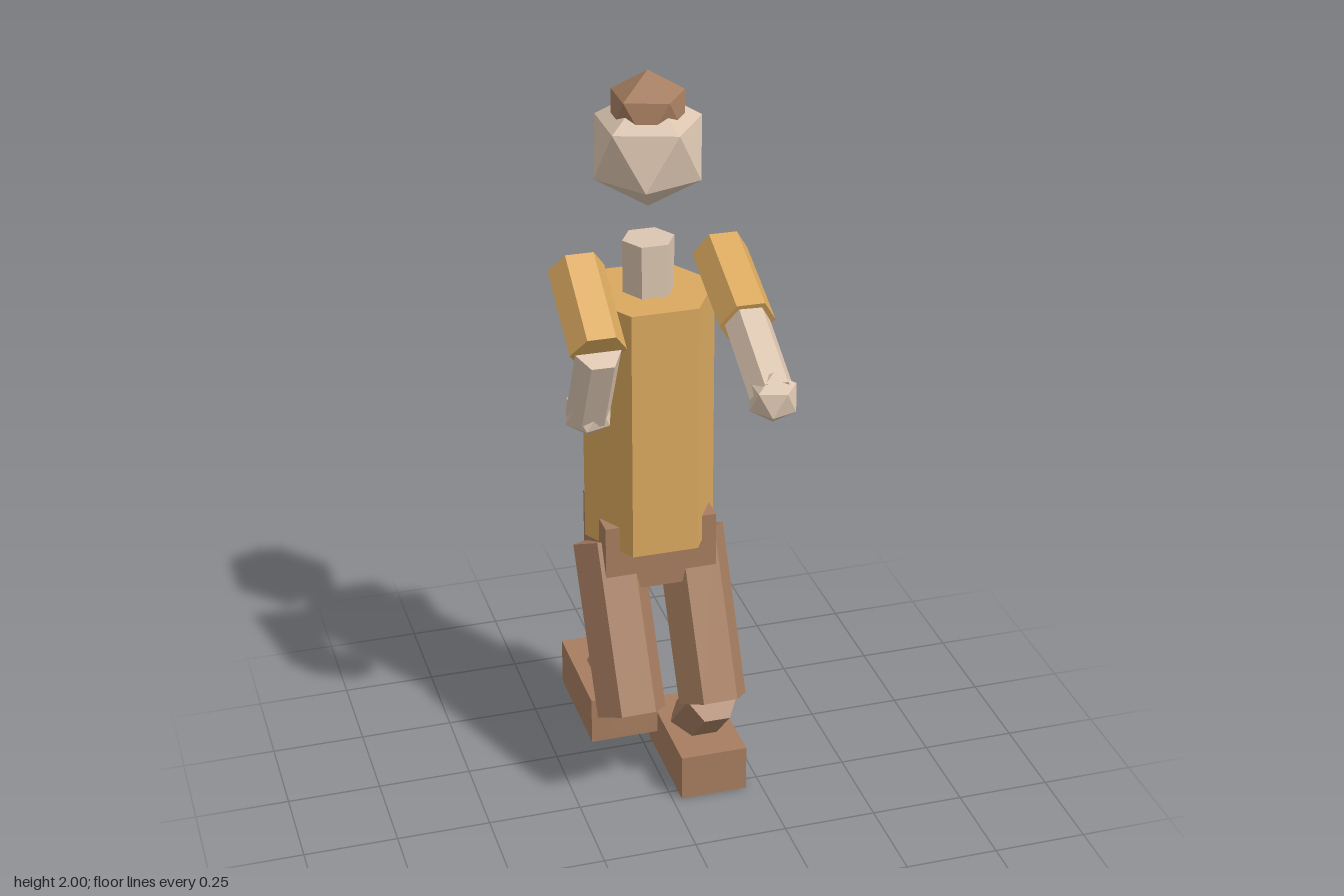
import * as THREE from 'three';

const paint = (name, color) => {
  const m = new THREE.MeshStandardMaterial({ color, flatShading: true });
  m.name = name;
  return m;
};

export function createModel() {
  const model = new THREE.Group();
  model.name = 'figure';
  const skin = paint('skin', 0xdbc5b0);
  const shirt = paint('ochre shirt', 0xdba95f);
  const brown = paint('brown', 0xa67d60);

  const add = (name, geometry, material, [x, y, z]) => {
    const mesh = new THREE.Mesh(geometry, material);
    mesh.name = name;
    mesh.position.set(x, y, z);
    model.add(mesh);
    return mesh;
  };

  // Six-sided prism between two points, with corners on the x axis
  const prism = (name, material, radius, top, bottom) => {
    const a = new THREE.Vector3(...top);
    const b = new THREE.Vector3(...bottom);
    const axis = a.clone().sub(b);
    const geometry = new THREE.CylinderGeometry(radius, radius, axis.length(), 6).rotateY(Math.PI / 2);
    const mesh = add(name, geometry, material, a.add(b).multiplyScalar(0.5).toArray());
    mesh.quaternion.setFromUnitVectors(new THREE.Vector3(0, 1, 0), axis.normalize());
  };

  // Icosahedron standing on a corner, upper ring pointing to +x
  const ball = (name, material, radius, center) => {
    const geometry = new THREE.IcosahedronGeometry(radius, 0)
      .rotateX(-Math.atan((1 + Math.sqrt(5)) / 2))
      .rotateY(Math.PI / 2);
    add(name, geometry, material, center);
  };

  const box = (name, size, center) => add(name, new THREE.BoxGeometry(...size), brown, center);

  // Head, neck, trunk
  ball('hair', brown, 0.107, [0, 1.893, -0.183]);
  ball('head', skin, 0.156, [0, 1.801, -0.183]);
  prism('neck', skin, 0.068, [0, 1.56, -0.182], [0, 1.38, -0.182]);
  prism('torso', shirt, 0.176, [0, 1.42, -0.182], [0, 0.735, -0.182]);
  box('hips', [0.3, 0.19, 0.225], [0, 0.71, -0.183]);

  // Each limb is a chain of three joints
  const arms = {
    left: [[0.187, 1.503, -0.178], [0.186, 1.407, 0.055], [0.179, 1.31, 0.28]],
    right: [[-0.187, 1.5, -0.185], [-0.187, 1.36, 0.022], [-0.19, 1.151, -0.076]],
  };
  const legs = {
    left: [[0.112, 0.709, -0.185], [0.119, 0.288, 0.01], [0.117, 0.11, -0.16]],
    right: [[-0.115, 0.709, -0.185], [-0.109, 0.295, 0.022], [-0.115, 0.289, -0.222]],
  };
  const feet = { left: [0.116, 0.065, -0.117], right: [-0.117, 0.255, -0.178] };

  for (const side of ['left', 'right']) {
    const [shoulder, elbow, hand] = arms[side];
    prism(side + 'UpperArm', shirt, 0.073, shoulder, elbow);
    prism(side + 'Forearm', skin, 0.059, elbow, hand);
    ball(side + 'Hand', skin, 0.066, hand);

    const [hip, knee, ankle] = legs[side];
    prism(side + 'Thigh', brown, 0.093, hip, knee);
    prism(side + 'Shin', brown, 0.07, knee, ankle);
    box(side + 'Foot', [0.182, 0.13, 0.314], feet[side]);
  }
  return model;
}
